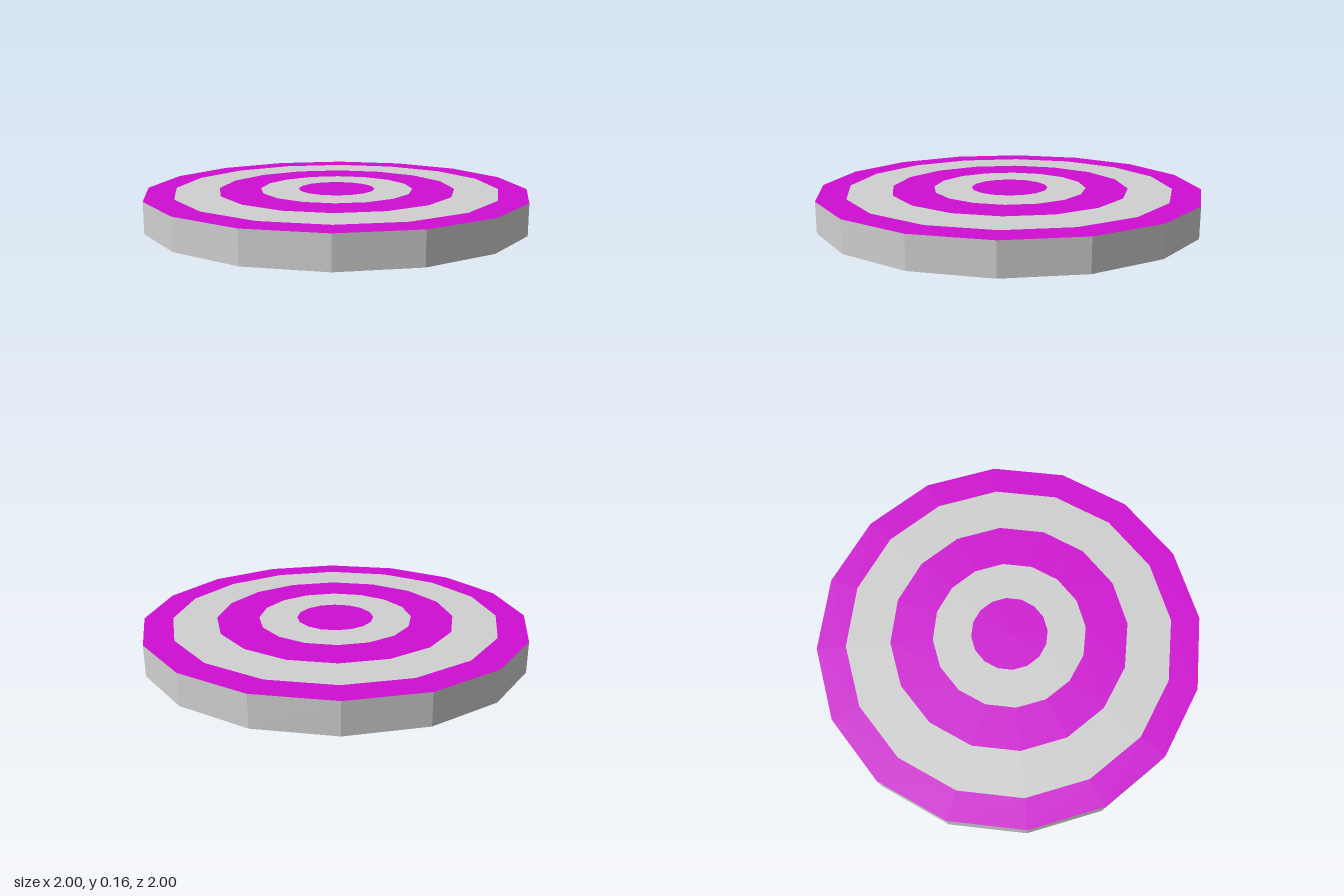
import * as THREE from 'three';

const SIDES = 16;
const HEIGHT = 0.16;

export function createModel() {
  const model = new THREE.Group();
  model.name = 'targetDisc';

  const grey = new THREE.MeshStandardMaterial({ color: 0xd0d0d0, flatShading: true });
  grey.name = 'light grey';
  const magenta = new THREE.MeshStandardMaterial({ color: 0xcf0dd2, flatShading: true });
  magenta.name = 'magenta';

  const add = (name, geometry, material, y, tilt = 0) => {
    const mesh = new THREE.Mesh(geometry, material);
    mesh.name = name;
    mesh.position.y = y;
    mesh.rotation.x = tilt;
    model.add(mesh);
  };

  // Faceted rim and underside
  add('rim', new THREE.CylinderGeometry(1, 1, HEIGHT, SIDES, 1, true), grey, HEIGHT / 2);
  add('underside', new THREE.CircleGeometry(1, SIDES), grey, 0, Math.PI / 2);

  // Concentric bands of the top face, from the edge inwards
  const radii = [1, 0.85, 0.62, 0.4, 0.2];
  const names = ['outerBand', 'outerGreyBand', 'middleBand', 'innerGreyBand', 'bullseye'];
  radii.forEach((radius, i) => {
    const inner = radii[i + 1];
    const geometry = inner
      ? new THREE.RingGeometry(inner, radius, SIDES)
      : new THREE.CircleGeometry(radius, SIDES);
    add(names[i], geometry, i % 2 ? grey : magenta, HEIGHT, -Math.PI / 2);
  });

  return model;
}
